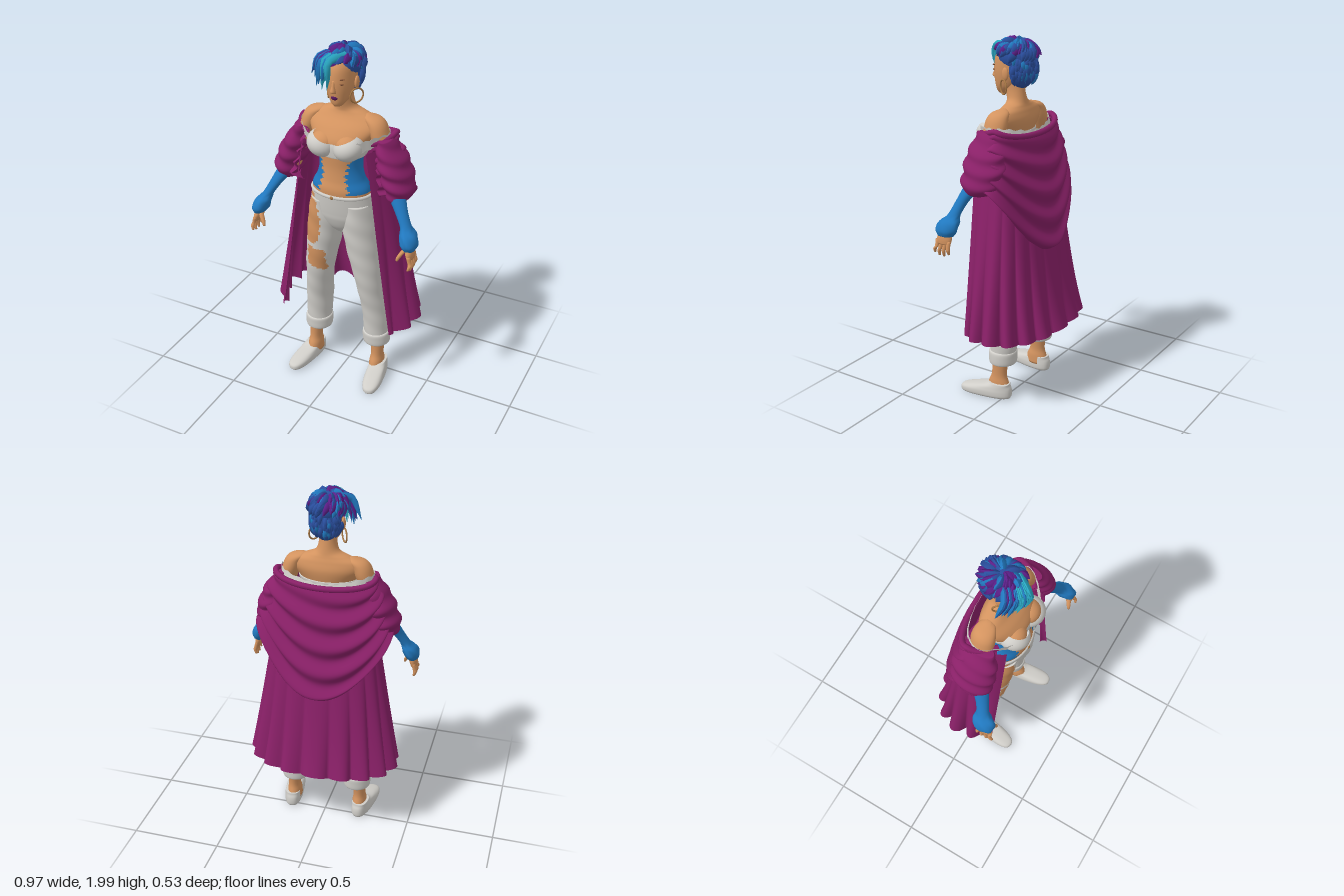
import * as THREE from 'three';

const mat = (name, color, side = THREE.FrontSide) => {
  const m = new THREE.MeshStandardMaterial({ color, side });
  m.name = name;
  return m;
};
const lerp = THREE.MathUtils.lerp;

export function createModel() {
  const root = new THREE.Group();
  const skin = mat('skin', 0xd3935f), white = mat('cloth white', 0xd0cec9, THREE.DoubleSide);
  const coat = mat('coat plum', 0x8a2068, THREE.DoubleSide), blue = mat('bright blue', 0x2179c0);
  const navy = mat('hair blue', 0x2a4f9f), purple = mat('hair purple', 0x5c1f88);
  const cyan = mat('hair cyan', 0x2aa9c4), lip = mat('lip purple', 0x55185c);
  const gold = mat('earring brown', 0xa87845), brown = mat('brow brown', 0x855538);

  let seed = 7;
  const rnd = () => (seed = (seed * 16807) % 2147483647) / 2147483647;
  const add = (name, geo, m, parent = root) => {
    const mesh = new THREE.Mesh(geo, m);
    mesh.name = name;
    parent.add(mesh);
    return mesh;
  };

  // Closed body through horizontal sections [x, y, z, rx, rz], listed from bottom to top.
  // rule(x, y, z) picks the material of each face; ripple(y, angle) scales the section.
  function loft(name, rings, m, { seg = 24, steps = 5, rule, ripple, parent } = {}) {
    const curve = (f) => new THREE.CatmullRomCurve3(rings.map(f), false, 'catmullrom', 0.5);
    const mid = curve((r) => new THREE.Vector3(r[0], r[1], r[2]));
    const rad = curve((r) => new THREE.Vector3(r[3], r[4], 0));
    const n = (rings.length - 1) * steps, pos = [], mats = [].concat(m), faces = mats.map(() => []);
    for (let i = 0; i <= n; i++) {
      const c = mid.getPoint(i / n), r = rad.getPoint(i / n);
      for (let j = 0; j < seg; j++) {
        const a = (j / seg) * Math.PI * 2, k = ripple ? ripple(c.y, a) : 1;
        pos.push(c.x + r.x * k * Math.sin(a), c.y, c.z + r.y * k * Math.cos(a));
      }
    }
    for (let i = 0; i < n; i++) for (let j = 0; j < seg; j++) {
      const a = i * seg + j, b = i * seg + ((j + 1) % seg), c = b + seg, d = a + seg;
      const avg = (k) => (pos[a * 3 + k] + pos[c * 3 + k]) / 2;
      faces[rule ? rule(avg(0), avg(1), avg(2)) : 0].push(a, b, c, a, c, d);
    }
    const e = pos.length / 3, p0 = mid.getPoint(0), p1 = mid.getPoint(1);
    pos.push(p0.x, p0.y, p0.z, p1.x, p1.y, p1.z);
    for (let j = 0; j < seg; j++) {
      const k = (j + 1) % seg;
      faces[0].push(e, k, j, e + 1, n * seg + j, n * seg + k);
    }
    const g = new THREE.BufferGeometry();
    g.setAttribute('position', new THREE.Float32BufferAttribute(pos, 3));
    g.setIndex(faces.flat());
    let start = 0;
    if (mats.length > 1) faces.forEach((f, i) => { g.addGroup(start, f.length, i); start += f.length; });
    g.computeVertexNormals();
    return add(name, g, m, parent);
  }
  // Open cloth from a rule f(u, v) -> [x, y, z]
  function sheet(name, f, nu, nv, m) {
    const g = new THREE.PlaneGeometry(1, 1, nu, nv), p = g.attributes.position, uv = g.attributes.uv;
    for (let i = 0; i < p.count; i++) p.setXYZ(i, ...f(uv.getX(i), 1 - uv.getY(i)));
    g.computeVertexNormals();
    return add(name, g, m);
  }
  const ball = (name, m, x, y, z, sx, sy, sz, parent) => {
    const b = add(name, new THREE.SphereGeometry(1, 20, 14), m, parent);
    b.position.set(x, y, z);
    b.scale.set(sx, sy, sz);
    return b;
  };
  const flip = (s, rings) => rings.map((r) => [r[0] * s, ...r.slice(1)]);

  // Torso and neck, with blue body art on the sides of the waist
  const art = (x, y) => (y > 1.21 && y < 1.44
    && Math.abs(x) > 0.064 + 0.25 * Math.abs(y - 1.31) + 0.009 * Math.sin(y * 190) ? 1 : 0);
  loft('torso', [[0, 1.14, 0.08, 0.165, 0.115], [0, 1.22, 0.09, 0.162, 0.115], [0, 1.28, 0.095, 0.132, 0.1],
    [0, 1.35, 0.095, 0.118, 0.095], [0, 1.43, 0.095, 0.13, 0.1], [0, 1.5, 0.085, 0.16, 0.112],
    [0, 1.56, 0.062, 0.192, 0.098], [0, 1.605, 0.045, 0.178, 0.07], [0, 1.632, 0.042, 0.12, 0.056],
    [0, 1.655, 0.045, 0.066, 0.052], [0, 1.7, 0.055, 0.048, 0.053], [0, 1.78, 0.07, 0.046, 0.055]],
  [skin, blue], { seg: 80, steps: 9, rule: art });

  // Head and face
  const head = new THREE.Group();
  head.name = 'head';
  root.add(head);
  loft('face', [[0, 1.685, 0.125, 0.022, 0.03], [0, 1.70, 0.12, 0.036, 0.047], [0, 1.73, 0.105, 0.055, 0.068],
    [0, 1.78, 0.09, 0.068, 0.09], [0, 1.83, 0.075, 0.073, 0.106], [0, 1.89, 0.065, 0.07, 0.105],
    [0, 1.94, 0.06, 0.05, 0.075]], skin, { parent: head });
  loft('nose', [[0, 1.765, 0.178, 0.014, 0.01], [0, 1.775, 0.182, 0.015, 0.019], [0, 1.80, 0.18, 0.009, 0.012],
    [0, 1.83, 0.172, 0.008, 0.01]], skin, { seg: 10, parent: head });
  ball('lips', lip, 0, 1.737, 0.166, 0.02, 0.013, 0.013, head);
  for (const s of [1, -1]) {
    ball('eye', brown, s * 0.032, 1.812, 0.163, 0.017, 0.006, 0.008, head);
    ball('brow', brown, s * 0.034, 1.836, 0.163, 0.022, 0.004, 0.008, head).rotation.z = s * 0.15;
    ball('ear', skin, s * 0.077, 1.80, 0.07, 0.011, 0.034, 0.02, head);
    const ring = add('earring', new THREE.TorusGeometry(0.038, 0.0045, 8, 28), gold, head);
    ring.position.set(s * 0.08, 1.732, 0.08);
    ring.rotation.y = s * 1.0;
  }

  // Hair: rounded caps covered in swept tapering locks
  const hair = new THREE.Group();
  hair.name = 'hair';
  root.add(hair);
  ball('hairCap', navy, 0, 1.885, 0.05, 0.083, 0.085, 0.108, hair);
  ball('hairNape', navy, 0, 1.83, 0.022, 0.076, 0.11, 0.082, hair);
  const V = (x, y, z) => new THREE.Vector3(x, y, z);
  function lock(pts, r, m) {
    const curve = new THREE.CatmullRomCurve3(pts), n = 7, sides = 5;
    const g = new THREE.TubeGeometry(curve, n, r, sides), p = g.attributes.position, q = V();
    for (let i = 0; i < p.count; i++) {
      const t = Math.floor(i / (sides + 1)) / n, c = curve.getPointAt(t);
      q.fromBufferAttribute(p, i).sub(c).multiplyScalar(Math.max(0.02, Math.sin(Math.PI * (0.2 + 0.8 * t)))).add(c);
      p.setXYZ(i, q.x, q.y, q.z);
    }
    g.computeVertexNormals();
    add('hairLock', g, m, hair);
  }
  // Crown locks, longer and looser on the right
  for (let i = 0; i < 85; i++) {
    const az = rnd() * Math.PI * 2, el = 0.05 + rnd() * 1.0, front = Math.cos(az);
    const at = (e, a, k) => V(0.084 * k * Math.sin(a) * Math.sin(e), 1.885 + 0.083 * k * Math.cos(e),
      0.05 + 0.108 * k * Math.cos(a) * Math.sin(e));
    const reach = front > 0.6 ? 0.5 : 0.8, lift = Math.sin(az) < 0 ? 0.22 : 0.14;
    const pts = [at(el, az, 0.95), at(el + reach * 0.5, az - 0.12, 1.08), at(el + reach, az - 0.3, 1.12 + lift * rnd())];
    if (front < -0.3) pts[2].z = Math.max(pts[2].z, -0.075);
    const k = rnd();
    lock(pts, 0.017 + rnd() * 0.007, k < (pts[1].x < 0 && pts[1].y > 1.87 ? 0.5 : 0.14) ? purple : k > 0.76 ? blue : navy);
  }
  // Back and side locks lying down to the nape
  for (let i = 0; i < 60; i++) {
    const az = Math.PI + (rnd() - 0.5) * 3.3, el = 0.9 + rnd() * 1.0;
    const at = (e, k) => V(0.078 * k * Math.sin(az) * Math.sin(e), 1.83 + 0.11 * k * Math.cos(e),
      0.024 + 0.085 * k * Math.cos(az) * Math.sin(e));
    lock([at(el, 0.98), at(el + 0.28, 1.04), at(el + 0.58, 1.08)], 0.014, i % 6 === 0 ? blue : navy);
  }
  // Side-swept fringe
  for (let i = 0; i < 15; i++) {
    const t = i / 14, x = lerp(-0.01, -0.135, t), r = rnd();
    lock([V(0.035 - 0.07 * t, 1.955 - 0.01 * t, 0.11 - 0.05 * t), V(x * 0.7 - 0.01, 1.925, 0.195 - 0.08 * t),
      V(x - 0.02 * r, 1.86 - 0.02 * r, 0.205 - 0.1 * t), V(x - 0.015 - 0.02 * r, 1.74 + 0.07 * Math.abs(t - 0.45) + 0.06 * rnd(), 0.19 - 0.09 * t)],
    0.018, i < 8 ? (i % 4 === 3 ? blue : cyan) : i % 3 === 0 ? purple : i % 3 === 1 ? navy : blue);
  }

  // Trousers, torn open at the front of the right thigh
  const torn = (x, y, z) => {
    const j = 0.005 * Math.sin(y * 130), bow = 1.4 * (y - 1.0) ** 2;
    const thigh = y > 0.855 + 0.1 * (x + 0.15) && y < 1.17 && x < -0.09 - bow + j && x > -0.206 + bow * 0.4;
    const knee = y < 0.83 - 0.2 * (x + 0.18) && y > 0.69 - 0.35 * (x + 0.15) && x < -0.08 + j && x > -0.183 - j;
    return z > 0.06 && (thigh || knee) ? 1 : 0;
  };
  loft('trouserSeat', [[0, 0.94, 0.06, 0.05, 0.06], [0, 0.985, 0.06, 0.13, 0.098], [0, 1.04, 0.065, 0.178, 0.118],
    [0, 1.08, 0.068, 0.186, 0.124], [0, 1.13, 0.075, 0.18, 0.125], [0, 1.195, 0.088, 0.168, 0.12]],
  [white, skin], { seg: 96, steps: 10, rule: torn });
  const band = add('waistband', new THREE.TorusGeometry(1, 0.07, 8, 40), white);
  band.rotation.x = Math.PI / 2;
  band.position.set(0, 1.19, 0.088);
  band.scale.set(0.164, 0.116, 0.14);
  ball('waistButton', gold, 0, 1.19, 0.211, 0.01, 0.01, 0.005);

  for (const s of [1, -1]) {
    loft('trouserLeg', flip(s, [[0.184, 0.24, 0.022, 0.07, 0.07], [0.182, 0.33, 0.02, 0.073, 0.078], [0.175, 0.45, 0.025, 0.076, 0.086],
      [0.16, 0.58, 0.05, 0.076, 0.086], [0.145, 0.7, 0.065, 0.083, 0.09], [0.122, 0.84, 0.068, 0.094, 0.102],
      [0.105, 0.97, 0.066, 0.1, 0.114], [0.1, 1.06, 0.068, 0.092, 0.118], [0.095, 1.14, 0.075, 0.078, 0.112]]),
    [white, skin], { seg: 64, steps: 12, rule: torn, ripple: (y, a) => 1 + 0.012 * Math.sin(y * 50 + a * 2) });
    loft('trouserCuff', flip(s, [[0.186, 0.205, 0.022, 0.066, 0.066], [0.186, 0.215, 0.022, 0.077, 0.077], [0.185, 0.25, 0.022, 0.08, 0.08],
      [0.184, 0.28, 0.022, 0.078, 0.08], [0.184, 0.288, 0.022, 0.066, 0.068]]), white);
    loft('ankle', flip(s, [[0.2, 0.04, 0.04, 0.042, 0.075], [0.2, 0.09, 0.042, 0.04, 0.06], [0.2, 0.14, 0.038, 0.034, 0.045],
      [0.196, 0.24, 0.03, 0.042, 0.05]]), skin);
    // Slip-on shoe turned slightly outwards
    const shoe = loft('shoe', [[0, 0, 0.075, 0.046, 0.148], [0, 0.012, 0.075, 0.053, 0.154], [0, 0.035, 0.07, 0.054, 0.15],
      [0, 0.055, 0.04, 0.05, 0.117], [0, 0.072, 0.005, 0.046, 0.075], [0, 0.085, -0.01, 0.043, 0.058]], white,
    { seg: 36, ripple: (y, a) => 1 + 0.09 * Math.sin(2 * a) ** 2 });
    shoe.position.set(s * 0.21, 0, 0.04);
    shoe.rotation.y = s * 0.16;

    // Bust and bandeau cup, cut higher on the outside
    ball('bust', skin, s * 0.07, 1.482, 0.15, 0.07, 0.058, 0.07);
    const cup = add('bandeauCup', new THREE.SphereGeometry(1, 28, 18, 0, Math.PI * 2, Math.PI * 0.28, Math.PI * 0.72), white);
    cup.position.set(s * 0.076, 1.475, 0.16);
    cup.scale.set(0.082, 0.07, 0.083);
    cup.rotation.set(0.05, 0, s * 0.4);

    // Arm: skin above the elbow, blue sleeve below
    loft('upperArm', flip(s, [[0.29, 1.27, 0.09, 0.042, 0.042], [0.262, 1.37, 0.075, 0.045, 0.05], [0.222, 1.47, 0.058, 0.046, 0.055],
      [0.198, 1.535, 0.052, 0.05, 0.064], [0.18, 1.585, 0.05, 0.05, 0.06], [0.155, 1.615, 0.047, 0.045, 0.045],
      [0.13, 1.631, 0.044, 0.012, 0.012]]), skin);
    loft('forearmSleeve', flip(s, [[0.446, 1.0, 0.2, 0.03, 0.045], [0.44, 1.03, 0.197, 0.044, 0.062], [0.428, 1.07, 0.187, 0.042, 0.058],
      [0.408, 1.105, 0.172, 0.03, 0.036], [0.37, 1.17, 0.148, 0.034, 0.034], [0.328, 1.24, 0.115, 0.045, 0.044],
      [0.29, 1.31, 0.09, 0.042, 0.042]]), blue, { ripple: (y, a) => 1 + (y < 1.1 ? 0.06 * Math.sin(a * 5 + y * 60) : 0) });
    loft('palm', flip(s, [[0.455, 0.955, 0.207, 0.017, 0.042], [0.45, 0.985, 0.205, 0.022, 0.046], [0.44, 1.03, 0.197, 0.024, 0.032]]), skin);
    for (let i = 0; i < 4; i++) {
      const z = 0.173 + 0.024 * i, len = 0.06 + 0.014 * Math.sin(i * 1.05);
      loft('finger', flip(s, [[0.462, 0.962 - len, z + 0.006 * (i - 0.5), 0.006, 0.006], [0.468, 0.967 - len * 0.7, z + 0.004 * (i - 0.5), 0.01, 0.01],
        [0.464, 0.94, z, 0.011, 0.011], [0.455, 0.975, z, 0.011, 0.012]]), skin, { seg: 8, steps: 3 });
    }
    loft('thumb', flip(s, [[0.395, 0.94, 0.25, 0.007, 0.007], [0.402, 0.96, 0.245, 0.011, 0.011], [0.42, 0.99, 0.232, 0.013, 0.014],
      [0.44, 1.02, 0.21, 0.014, 0.016]]), skin, { seg: 8, steps: 3 });

    // Bunched coat sleeve
    loft('coatSleeve', flip(s, [[0.315, 1.205, 0.085, 0.04, 0.05], [0.325, 1.225, 0.075, 0.062, 0.085], [0.318, 1.28, 0.06, 0.078, 0.112],
      [0.298, 1.34, 0.055, 0.08, 0.118], [0.275, 1.41, 0.055, 0.075, 0.115], [0.248, 1.48, 0.058, 0.052, 0.09],
      [0.235, 1.525, 0.058, 0.035, 0.075]]), coat,
    { seg: 36, steps: 8, ripple: (y, a) => 1 + 0.07 * Math.sin(y * 75 + 2 * Math.sin(a - s * 0.6)) });
  }

  // Bandeau band and the off-shoulder trim around both arms
  loft('bandeauBand', [[0, 1.415, 0.095, 0.13, 0.1], [0, 1.42, 0.093, 0.14, 0.108], [0, 1.47, 0.088, 0.158, 0.116],
    [0, 1.5, 0.082, 0.166, 0.113], [0, 1.505, 0.08, 0.155, 0.1]], white);
  const half = [[0.1, 1.495, 0.215], [0.15, 1.51, 0.18], [0.21, 1.528, 0.125], [0.252, 1.535, 0.055], [0.21, 1.53, -0.02], [0.1, 1.51, -0.065]];
  const trim = new THREE.CatmullRomCurve3([...half, [0, 1.5, -0.078], ...flip(-1, half).reverse()].map((p) => V(...p)));
  sheet('shoulderTrim', (u, v) => {
    const p = trim.getPoint(u), w = 0.03 + 0.045 * Math.abs(2 * u - 1) ** 2;
    return [p.x, p.y + 0.015 - v * w + 0.004 * Math.sin(u * 130), p.z - 0.01 * v];
  }, 120, 4, white);

  // Coat skirt: open at the front, rounded pleats deepening towards the hem
  sheet('coatSkirt', (u, v) => {
    const th = (u - 0.5) * 2 * 2.27, c = Math.cos(th), s = Math.sin(th);
    const pleat = Math.abs(Math.cos(8.5 * th + 0.3 * Math.sin(2 * th))) ** 0.8, back = Math.max(0, c);
    const k = 1 + v * v * (0.16 * pleat - 0.09);
    const a = lerp(0.235, 0.405, v ** 0.9), b = lerp(0.08, 0.225, v ** 0.85) + 0.025 * v ** 6;
    const y = lerp(1.47, 0.4 + 0.015 * pleat - 0.035 * Math.max(0, -c), v);
    return [a * k * Math.sign(s) * Math.abs(s) ** lerp(1, 0.88, back), y, c > 0 ? -(c ** 0.85) * b * k : -c * 0.28];
  }, 220, 36, coat);

  // Draped upper coat: deep swags sagging across the back, slipping off the shoulders
  const drapeTop = (c) => 1.545 - 0.045 * Math.max(0, c) - 0.05 * Math.max(0, -c);
  sheet('coatDrape', (u, v) => {
    const th = (u - 0.5) * 2 * 2.4, c = Math.cos(th), back = Math.max(0, c);
    const bottom = 1.22 - 0.38 * back ** 1.6;
    const tuck = v > 0.92 ? (v - 0.92) * 0.9 : 0;
    const fold = 0.014 * Math.min(1, v * 6) * Math.sin(v * 29 + 1.2 * Math.sin(2 * th)) + 0.007 * Math.sin(5 * th + 1) * v - tuck;
    const a = lerp(0.262, 0.372, v ** 0.75) + fold;
    const b = lerp(0.085, 0.2, v ** 0.7) + fold, f = lerp(0.17, 0.225, v) + fold * 0.5;
    return [a * Math.sin(th), lerp(drapeTop(c), bottom, v), -c * (c > 0 ? b : f)];
  }, 110, 80, coat);
  // Rolled collar edge
  const rim = [];
  for (let i = 0; i <= 24; i++) {
    const th = (i / 12 - 1) * 2.4, c = Math.cos(th);
    rim.push(V(0.268 * Math.sin(th), drapeTop(c) - 0.005, -c * (c > 0 ? 0.092 : 0.175)));
  }
  add('coatCollar', new THREE.TubeGeometry(new THREE.CatmullRomCurve3(rim), 80, 0.016, 8), coat);

  return root;
}
